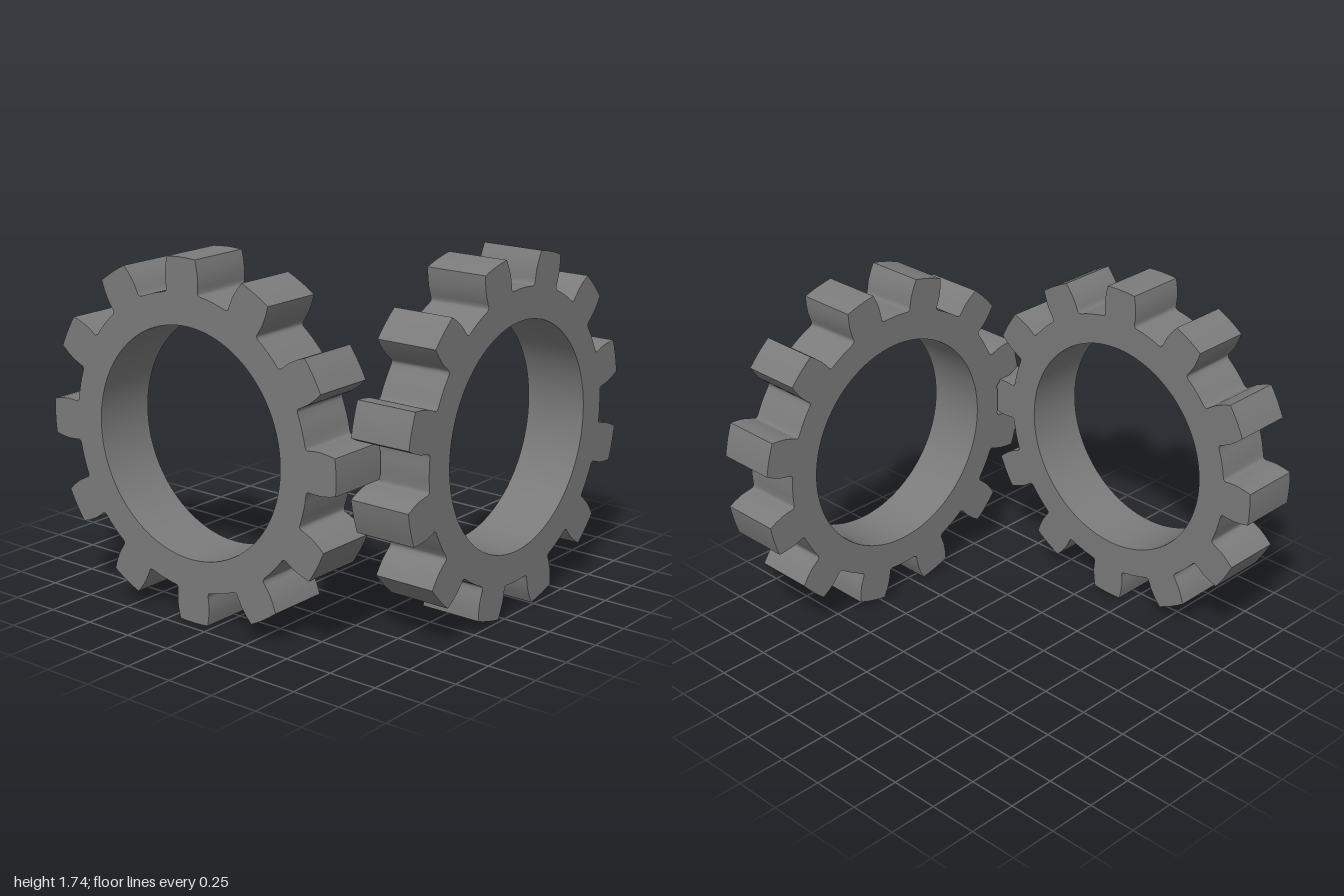
import * as THREE from 'three';
import { toCreasedNormals } from 'three/addons/utils/BufferGeometryUtils.js';

const TEETH = 12, HOLE = 0.557, ROOT = 0.71, TIP = 0.872, WIDTH = 0.315;

// One flank from the root fillet to the tip: [radius, half width]
const FLANK = [
  [ROOT, 0.11], [0.713, 0.1], [0.72, 0.095], [0.74, 0.097], [0.785, 0.1], [0.83, 0.095], [TIP, 0.086],
];

function gearGeometry(offset) {
  const points = [];
  const polar = (r, a) => points.push(new THREE.Vector2(r * Math.cos(a), r * Math.sin(a)));
  const arc = (r, from, to, n) => {
    for (let i = 1; i < n; i++) polar(r, from + (to - from) * i / n);
  };
  const pitch = Math.PI * 2 / TEETH;
  const half = ([r, w]) => Math.asin(w / r);
  const tipHalf = half(FLANK[FLANK.length - 1]), rootHalf = half(FLANK[0]);

  for (let i = 0; i < TEETH; i++) {
    const a = offset + i * pitch;
    // Rising flank, rounded tip, falling flank, then the root to the next tooth
    FLANK.forEach((p) => polar(p[0], a - half(p)));
    arc(TIP, a - tipHalf, a + tipHalf, 4);
    [...FLANK].reverse().forEach((p) => polar(p[0], a + half(p)));
    arc(ROOT, a + rootHalf, a + pitch - rootHalf, 4);
  }

  const shape = new THREE.Shape(points);
  shape.holes.push(new THREE.Path().absarc(0, 0, HOLE, 0, Math.PI * 2, true));
  const geometry = new THREE.ExtrudeGeometry(shape, { depth: WIDTH, bevelEnabled: false, curveSegments: 72 });
  geometry.translate(0, 0, -WIDTH / 2);
  return toCreasedNormals(geometry, 0.85);
}

export function createModel() {
  const group = new THREE.Group();
  const material = new THREE.MeshStandardMaterial({ color: 0x7b7b7b });

  // Gear facing the front, turned slightly to mesh
  const front = new THREE.Mesh(gearGeometry(THREE.MathUtils.degToRad(1.1)), material);
  front.name = 'frontGear';
  front.position.set(-0.128, 0.876, 0.95 - WIDTH / 2);

  // Gear at a right angle, half a tooth out of step
  const side = new THREE.Mesh(gearGeometry(Math.PI / TEETH), material);
  side.name = 'sideGear';
  side.rotation.y = Math.PI / 2;
  side.position.set(0.998 - WIDTH / 2, 0.876, -0.091);

  group.add(front, side);
  return group;
}
